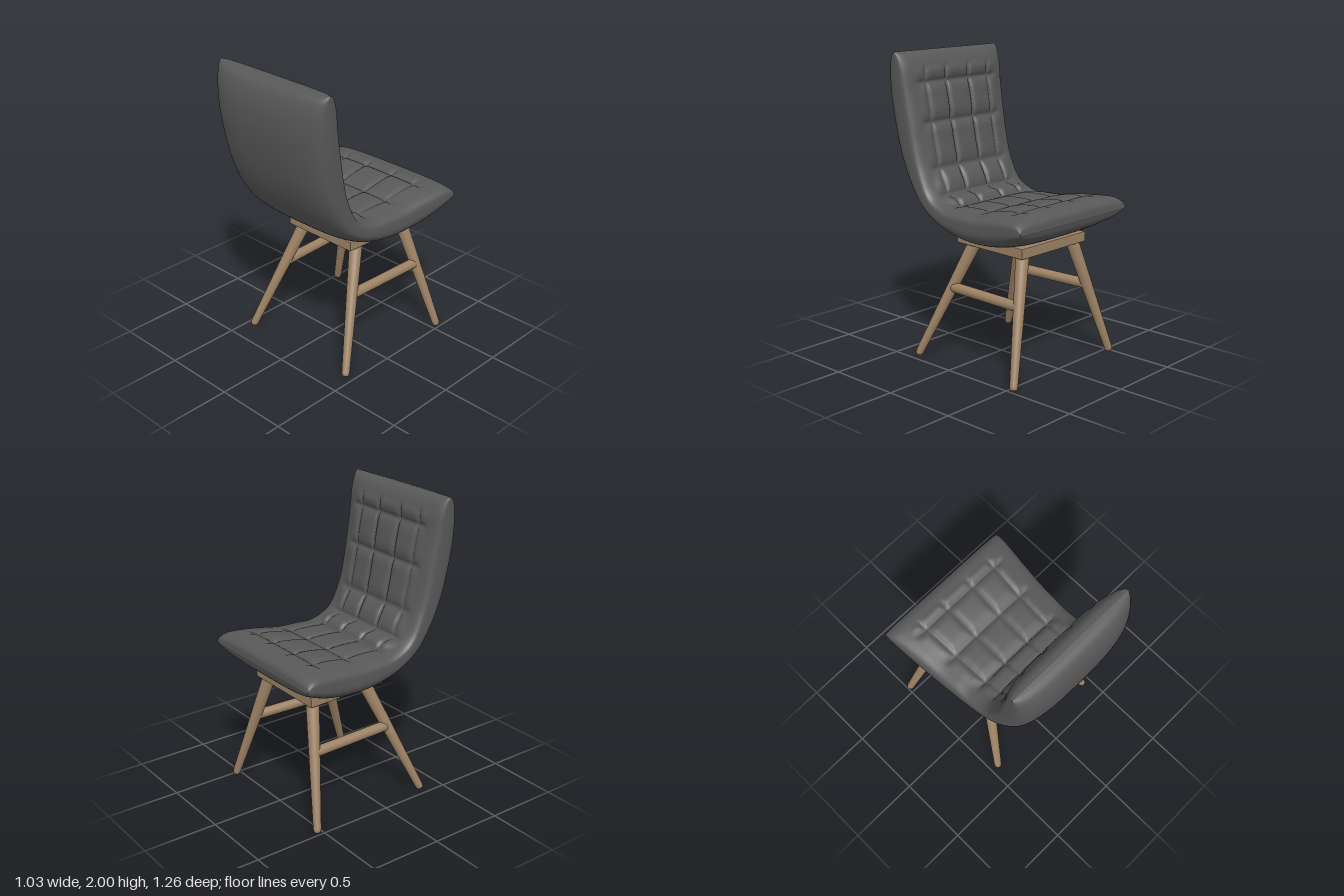
import * as THREE from 'three';
import { mergeVertices } from 'three/addons/utils/BufferGeometryUtils.js';

const fabric = new THREE.MeshStandardMaterial({ name: 'grey upholstery', color: 0x585858 });
const wood = new THREE.MeshStandardMaterial({ name: 'light wood', color: 0x9c8264 });

// Matching stations from the seat's tip to the top of the back: [z, y]
const INNER = [[-0.625, 1], [-0.615, 1.05], [-0.57, 1.085], [-0.48, 1.092], [-0.35, 1.08], [-0.19, 1.055],
  [-0.06, 1.05], [0.07, 1.045], [0.2, 1.1], [0.28, 1.26], [0.32, 1.42], [0.345, 1.57], [0.38, 1.76],
  [0.405, 1.9], [0.44, 1.97], [0.47, 1.993], [0.505, 2]];
const OUTER = [[-0.625, 1], [-0.605, 0.945], [-0.54, 0.9], [-0.42, 0.85], [-0.25, 0.815], [-0.08, 0.812],
  [0.06, 0.835], [0.2, 0.89], [0.34, 0.99], [0.47, 1.15], [0.55, 1.32], [0.6, 1.5], [0.63, 1.72],
  [0.62, 1.87], [0.585, 1.96], [0.545, 1.99], [0.505, 2]];
const WIDTH = [0.512, 0.514, 0.514, 0.505, 0.49, 0.475, 0.465, 0.455, 0.448, 0.446, 0.45, 0.454, 0.461,
  0.466, 0.469, 0.47, 0.47];
const LAST = INNER.length - 1;

// Quilting seams: across (station index) and along (fraction of half width)
const ROWS = [3.3, 5, 7, 8, 9, 10.87, 12.3];
const COLS = [-0.62, -0.225, 0.225, 0.62];

const curve = (pts) => new THREE.CatmullRomCurve3(pts.map(([z, y]) => new THREE.Vector3(0, y, z)));
const widthCurve = curve(WIDTH.map((w, i) => [i * 0.1, w]));
const nearest = (list, v) => Math.min(...list.map((c) => Math.abs(c - v)));
const fade = THREE.MathUtils.smoothstep;

// Height of the quilted surface: sharp seams with soft puffs between them
function quilt(t, s, w) {
  const rowDist = nearest(ROWS, t) * 0.14;
  const colDist = nearest(COLS, s) * w;
  const rowMask = 1 - fade(Math.abs(s), 0.66, 0.84);
  const colMask = fade(t, 2.5, 3.1) * (1 - fade(t, 12.7, 13.2));
  const seam = Math.max(Math.exp(-rowDist / 0.018) * rowMask, Math.exp(-colDist / 0.014) * colMask);
  const bend = Math.exp(-(((t - 7.6) / 0.8) ** 2));
  const puff = (0.008 + 0.016 * bend) * Math.min(1, rowDist / 0.06) * rowMask * colMask;
  return puff - 0.024 * seam;
}

// One padded shell: D-shaped cross-sections swept from seat to back
function shellGeometry() {
  const inner = curve(INNER), outer = curve(OUTER);
  const stations = 190, half = 110, ring = half * 2;
  const pos = [], index = [];
  for (let i = 0; i <= stations; i++) {
    const u = i / stations, t = u * LAST;
    const a = inner.getPoint(u), b = outer.getPoint(u);
    const w = widthCurve.getPoint(u).y;
    const edge = a.clone().lerp(b, 0.42);
    const out = a.clone().sub(b).normalize();
    for (let j = 0; j < ring; j++) {
      const top = j < half;
      const k = top ? j : ring - j;
      const s = Math.sin((k / half - 0.5) * Math.PI);
      const n = top ? 4 : 3;
      const h = Math.pow(Math.max(0, 1 - Math.abs(s) ** n), 1 / n);
      const p = edge.clone().lerp(top ? a : b, h);
      if (top) p.addScaledVector(out, quilt(t, s, w));
      pos.push(s * w, p.y, p.z);
      if (i < stations) {
        const c = i * ring + j, d = i * ring + ((j + 1) % ring);
        index.push(c, c + ring, d, d, c + ring, d + ring);
      }
    }
  }
  let geo = new THREE.BufferGeometry();
  geo.setAttribute('position', new THREE.Float32BufferAttribute(pos, 3));
  geo.setIndex(index);
  geo = mergeVertices(geo, 1e-5);
  geo.computeVertexNormals();
  return geo;
}

function addMesh(parent, name, geo, mat) {
  const mesh = new THREE.Mesh(geo, mat);
  mesh.name = name;
  parent.add(mesh);
  return mesh;
}

// Round rod between two points, with softened ends
function rod(parent, name, from, to, r0, r1) {
  const a = new THREE.Vector3(...from), b = new THREE.Vector3(...to);
  const len = a.distanceTo(b);
  const profile = [[0, 0], [r0 * 0.6, 0], [r0 * 0.9, 0.008], [r0, 0.025], [r1, len], [0, len]];
  const geo = new THREE.LatheGeometry(profile.map((p) => new THREE.Vector2(...p)), 24);
  const mesh = addMesh(parent, name, geo, wood);
  mesh.position.copy(a);
  mesh.quaternion.setFromUnitVectors(new THREE.Vector3(0, 1, 0), b.sub(a).normalize());
}

export function createModel() {
  const chair = new THREE.Group();
  chair.name = 'chair';

  addMesh(chair, 'paddedSeatAndBack', shellGeometry(), fabric);

  // Mounting plate, a little wider under the seat's tip
  const plan = new THREE.Shape([[-0.272, -0.125], [0.272, -0.125], [0.302, 0.45], [-0.302, 0.45]]
    .map((p) => new THREE.Vector2(...p)));
  const plate = addMesh(chair, 'mountingPlate', new THREE.ExtrudeGeometry(plan, {
    depth: 0.056, bevelThickness: 0.006, bevelSize: 0.006, bevelSegments: 2,
  }), wood);
  plate.rotation.x = -Math.PI / 2;
  plate.position.y = 0.786;

  // Splayed legs and side stretchers
  for (const [side, label] of [[1, 'left'], [-1, 'right']]) {
    rod(chair, label + 'BackrestLeg', [side * 0.443, 0.004, 0.345], [side * 0.222, 0.81, 0.015], 0.026, 0.044);
    rod(chair, label + 'SeatTipLeg', [side * 0.48, 0.004, -0.542], [side * 0.235, 0.81, -0.395], 0.026, 0.044);
    rod(chair, label + 'Stretcher', [side * 0.313, 0.485, 0.145], [side * 0.335, 0.485, -0.45], 0.034, 0.034);
  }
  return chair;
}
